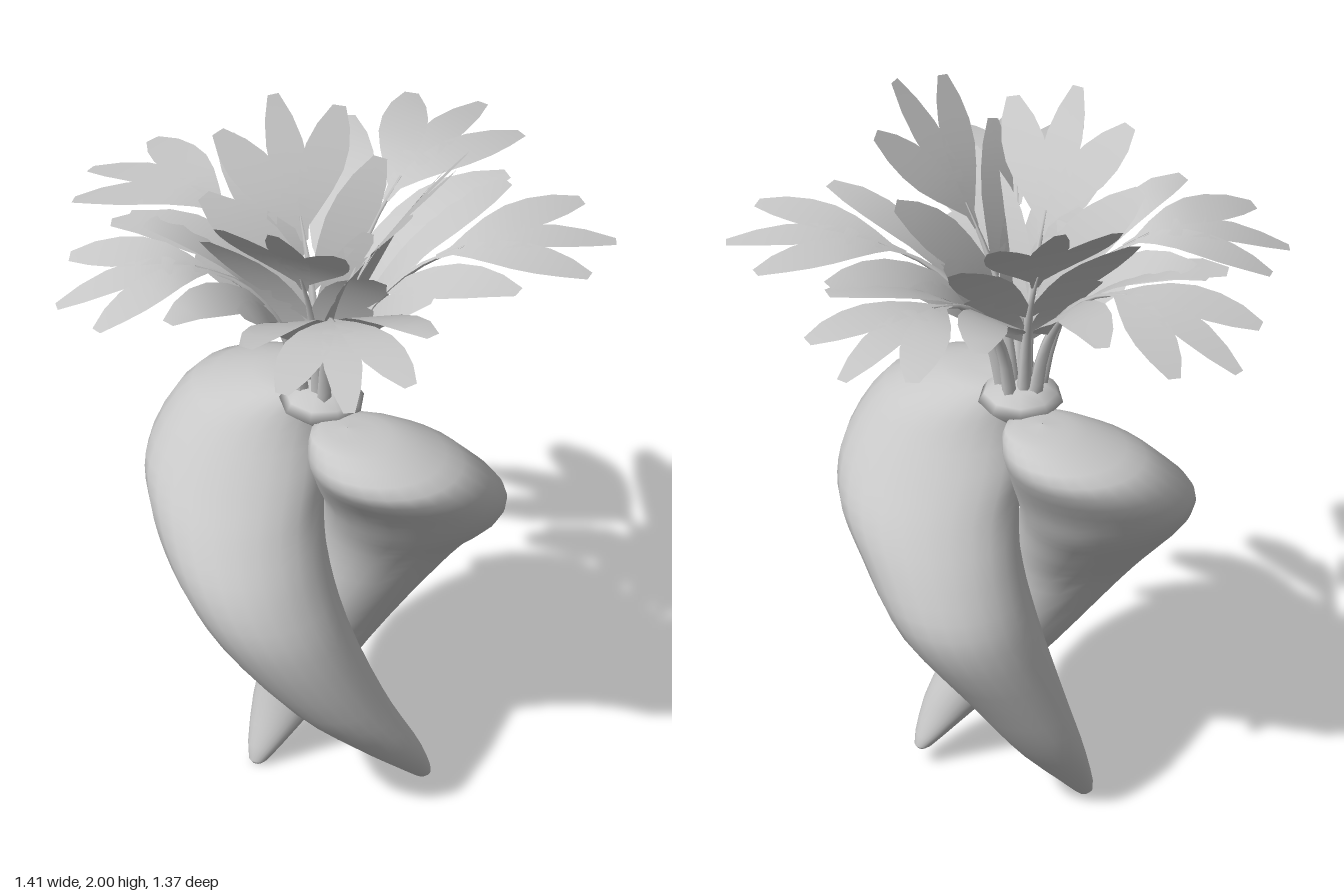
import * as THREE from 'three';
import { mergeGeometries, mergeVertices } from 'three/addons/utils/BufferGeometryUtils.js';

const grey = new THREE.MeshStandardMaterial({ color: 0xc8c8c8, side: THREE.DoubleSide });
grey.name = 'plain grey';

const CENTRE_Z = 0.07;

// Tapered root through level cross-sections: [y, xMin, xMax, zMin, zMax]
function rootGeometry(sections) {
  const mid = new THREE.CatmullRomCurve3(
    sections.map(([y, x0, x1, z0, z1]) => new THREE.Vector3((x0 + x1) / 2, y, (z0 + z1) / 2)));
  const radius = new THREE.CatmullRomCurve3(
    sections.map(([, x0, x1, z0, z1]) => new THREE.Vector3((x1 - x0) / 2, (z1 - z0) / 2, 0)));
  const geo = new THREE.CylinderGeometry(1, 1, 1, 24, 36, true);
  const p = geo.attributes.position;
  for (let i = 0; i < p.count; i++) {
    const t = THREE.MathUtils.clamp(0.5 - p.getY(i), 0, 1);
    const c = mid.getPoint(t), r = radius.getPoint(t);
    p.setXYZ(i, c.x + p.getX(i) * Math.max(r.x, 0.001), c.y, c.z + p.getZ(i) * Math.max(r.y, 0.001));
  }
  geo.deleteAttribute('normal');
  geo.deleteAttribute('uv');
  const welded = mergeVertices(geo, 1e-5);
  welded.computeVertexNormals();
  return welded;
}

// Leaflets on one side: [start along rib, end along rib, sideways reach, half width]
const SIDE_LEAFLETS = [
  [0.24, 0.5, 0.17, 0.055],
  [0.36, 0.73, 0.24, 0.065],
  [0.56, 0.92, 0.165, 0.06],
];
const TIP_LEAFLET = [0.52, 1, 0, 0.05];
const WIDTHS = [0.2, 0.5, 0.8, 1, 0.98, 0.75, 0.3];

// One thin leaflet, laid out flat and then bent along the rib
function leafletGeometry([s0, s1, reach, half], side, place) {
  const pos = [], index = [];
  const len = Math.hypot(s1 - s0, reach);
  const du = (s1 - s0) / len, dv = side * reach / len;
  WIDTHS.forEach((w, i) => {
    const d = len * i / (WIDTHS.length - 1);
    for (const k of [-1, 0, 1]) {
      const u = s0 + du * d - dv * half * w * k;
      const v = dv * d + du * half * w * k;
      pos.push(...place(u, v).toArray());
    }
    if (i === 0) return;
    for (const k of [0, 1]) {
      const a = (i - 1) * 3 + k, b = i * 3 + k;
      index.push(a, a + 1, b, b, a + 1, b + 1);
    }
  });
  const geo = new THREE.BufferGeometry();
  geo.setAttribute('position', new THREE.Float32BufferAttribute(pos, 3));
  geo.setIndex(index);
  geo.computeVertexNormals();
  return geo;
}

// Leaf whose rib follows (distance from centre, height) points, heading to (dx, dz)
function makeLeaf(name, profile, dx, dz) {
  const n = Math.hypot(dx, dz);
  const out = new THREE.Vector3(dx / n, 0, dz / n);
  const across = new THREE.Vector3(-out.z, 0, out.x);
  const rib = new THREE.CatmullRomCurve3(
    profile.map(([r, y]) => new THREE.Vector3(out.x * r, y, CENTRE_Z + out.z * r)));
  const place = (u, v) =>
    rib.getPointAt(THREE.MathUtils.clamp(u, 0, 1)).addScaledVector(across, v);

  const blades = [leafletGeometry(TIP_LEAFLET, 1, place)];
  for (const side of [-1, 1]) {
    for (const leaflet of SIDE_LEAFLETS) blades.push(leafletGeometry(leaflet, side, place));
  }
  const leaf = new THREE.Group();
  leaf.name = name;
  const blade = new THREE.Mesh(mergeGeometries(blades), grey);
  blade.name = 'leafBlade';

  // Stalk narrowing into the blade
  const stalkPath = new THREE.CatmullRomCurve3(
    [0, 0.15, 0.3, 0.45, 0.6].map((u) => rib.getPointAt(u)));
  const stalkGeo = new THREE.TubeGeometry(stalkPath, 10, 0.02, 5);
  const p = stalkGeo.attributes.position;
  for (let i = 0; i < p.count; i++) {
    const t = Math.floor(i / 6) / 10;
    const c = stalkPath.getPointAt(t);
    const v = new THREE.Vector3().fromBufferAttribute(p, i).sub(c).multiplyScalar(1 - 0.85 * t).add(c);
    p.setXYZ(i, v.x, v.y, v.z);
  }
  stalkGeo.computeVertexNormals();
  const stalk = new THREE.Mesh(stalkGeo, grey);
  stalk.name = 'leafStalk';
  leaf.add(blade, stalk);
  return leaf;
}

export function createModel() {
  const model = new THREE.Group();
  model.name = 'twistedRootVegetable';

  // Two roots wound around each other
  const roots = {
    frontRoot: [
      [1.175, -0.1, -0.1, -0.04, -0.04],
      [1.165, -0.2, -0.01, -0.13, 0.05],
      [1.1, -0.38, 0, -0.21, 0.13],
      [0.95, -0.46, 0.01, -0.13, 0.26],
      [0.855, -0.43, 0.015, -0.08, 0.35],
      [0.74, -0.35, 0.05, 0, 0.43],
      [0.6, -0.24, 0.11, 0.08, 0.45],
      [0.35, -0.04, 0.21, 0.1, 0.35],
      [0.17, 0.13, 0.284, 0.08, 0.21],
      [0.05, 0.25, 0.286, 0.055, 0.095],
      [0.045, 0.268, 0.268, 0.075, 0.075],
    ],
    backRoot: [
      [1.175, 0.1, 0.1, 0.18, 0.18],
      [1.165, 0.01, 0.24, 0.09, 0.28],
      [1.09, 0, 0.41, 0, 0.36],
      [0.95, -0.01, 0.478, -0.11, 0.26],
      [0.855, -0.01, 0.46, -0.19, 0.2],
      [0.74, -0.04, 0.37, -0.26, 0.13],
      [0.6, -0.09, 0.27, -0.3, 0.09],
      [0.35, -0.16, 0.09, -0.18, 0.06],
      [0.17, -0.2, -0.02, -0.07, 0.065],
      [0.005, -0.185, -0.148, 0.065, 0.1],
      [0, -0.165, -0.165, 0.08, 0.08],
    ],
  };
  for (const [name, sections] of Object.entries(roots)) {
    const root = new THREE.Mesh(rootGeometry(sections), grey);
    root.name = name;
    model.add(root);
  }

  // Crown joining roots and leaves
  const crown = new THREE.Mesh(new THREE.LatheGeometry(
    [[0.06, 1.12], [0.11, 1.165], [0.095, 1.19], [0.06, 1.215], [0, 1.215]]
      .map(([r, y]) => new THREE.Vector2(r, y)), 9), grey);
  crown.position.z = CENTRE_Z;
  crown.name = 'crown';
  model.add(crown);

  // Spreading outer leaves: heading x, heading z, reach, tip height
  const outer = [
    [0.7, -0.25, 0.75, 1.63],
    [0.21, -0.75, 0.775, 1.62],
    [-0.69, -0.27, 0.745, 1.56],
    [-0.6, 0.32, 0.69, 1.56],
    [0.25, 0.61, 0.66, 1.6],
  ];
  for (const [dx, dz, reach, tip] of outer) {
    const k = reach / 0.76;
    model.add(makeLeaf('outerLeaf', [
      [0.045, 1.18], [0.1, 1.4], [0.23 * k, 1.56], [0.41 * k, 1.645],
      [0.6 * k, (tip + 1.68) / 2], [reach, tip],
    ], dx, dz));
  }

  // Steep inner leaves: heading x, heading z, reach, tip height
  const inner = [
    [-0.03, 0.33, 0.34, 1.91],
    [0.37, 0.07, 0.375, 2],
    [-0.2, -0.27, 0.36, 1.88],
  ];
  for (const [dx, dz, reach, tip] of inner) {
    const h = tip - 1.18;
    model.add(makeLeaf('innerLeaf', [
      [0.025, 1.18], [0.06, 1.18 + h * 0.33], [reach * 0.45, 1.18 + h * 0.65], [reach, tip],
    ], dx, dz));
  }
  return model;
}
